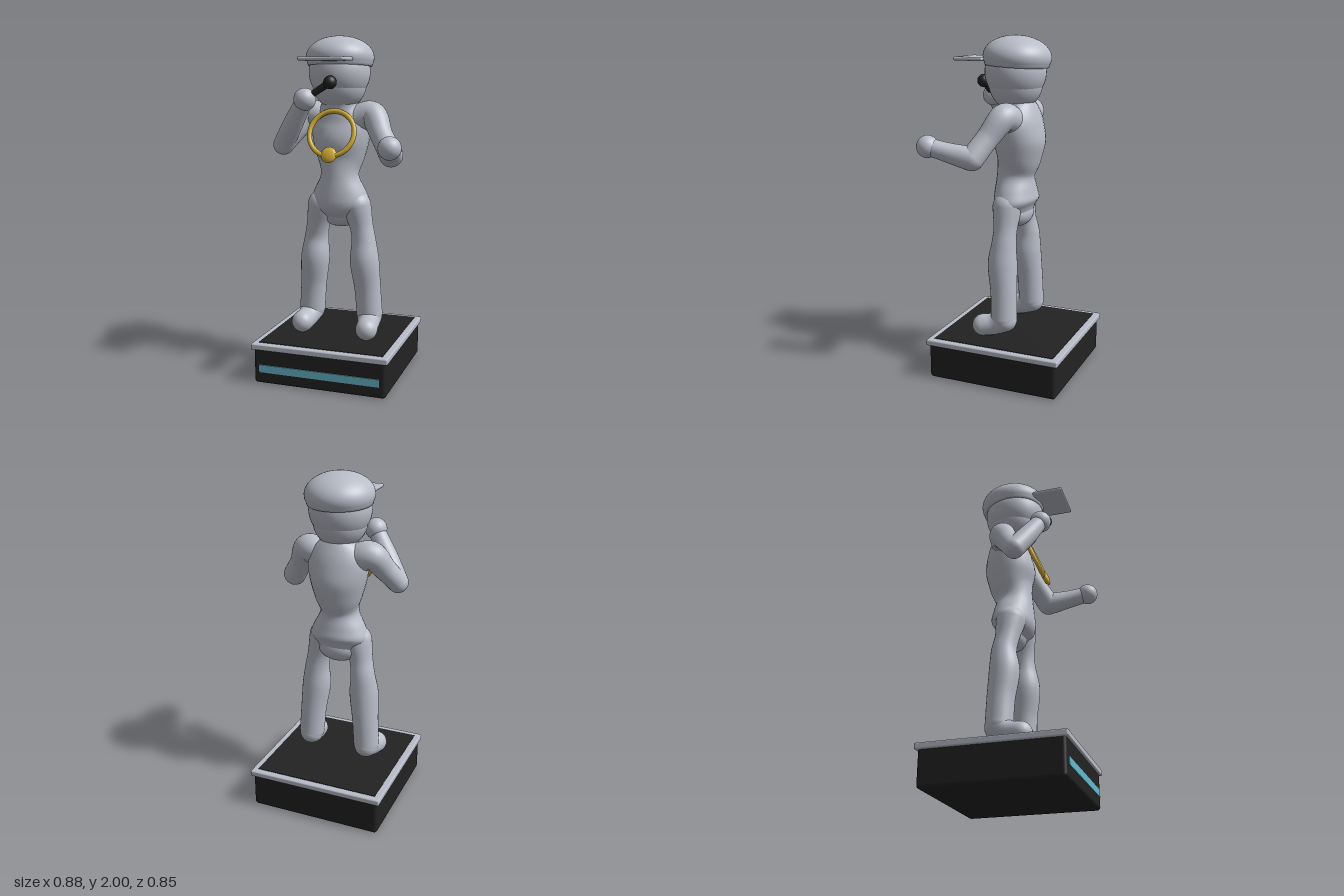
import * as THREE from 'three';
import { mergeGeometries, mergeVertices } from 'three/addons/utils/BufferGeometryUtils.js';
import { RoundedBoxGeometry } from 'three/addons/geometries/RoundedBoxGeometry.js';

const CX = -0.026; // centre line of the figure and its stand

function material(name, color) {
  const m = new THREE.MeshStandardMaterial({ color });
  m.name = name;
  return m;
}

// Smooth limb through sections [x, y, z, rx, rz], closed by a ball at each end
function limbGeometry(sections, steps = 40, sides = 28) {
  const curve = new THREE.CatmullRomCurve3(sections.map(s => new THREE.Vector3(s[0], s[1], s[2])));
  const radii = new THREE.SplineCurve(sections.map(s => new THREE.Vector2(s[3], s[4] ?? s[3])));
  const tube = new THREE.TubeGeometry(curve, steps, 1, sides);
  const pos = tube.attributes.position;
  for (let i = 0; i <= steps; i++) {
    const c = curve.getPointAt(i / steps);
    const r = radii.getPoint(curve.getUtoTmapping(i / steps));
    for (let j = 0; j <= sides; j++) {
      const k = i * (sides + 1) + j;
      pos.setXYZ(k,
        c.x + (pos.getX(k) - c.x) * r.x,
        c.y + (pos.getY(k) - c.y) * r.x,
        c.z + (pos.getZ(k) - c.z) * r.y);
    }
  }
  tube.deleteAttribute('uv');
  tube.deleteAttribute('normal');
  const skin = mergeVertices(tube, 1e-5);
  skin.computeVertexNormals();
  const balls = [sections[0], sections[sections.length - 1]].map(([x, y, z, rx, rz = rx]) => {
    const b = new THREE.SphereGeometry(1, sides, 18);
    b.deleteAttribute('uv');
    return b.scale(rx, Math.min(rx, rz), rz).translate(x, y, z);
  });
  return mergeGeometries([skin, ...balls]);
}

export function createModel() {
  const model = new THREE.Group();
  model.name = 'performerFigure';
  const grey = material('paleGrey', 0xb9bdc8);
  const black = material('nearBlack', 0x222222);
  const gold = material('gold', 0xd4af37);
  const blue = material('lightBlue', 0x66b8cc);

  const add = (name, geometry, mat, x = 0, y = 0, z = 0, parent = model) => {
    const mesh = new THREE.Mesh(geometry, mat);
    mesh.name = name;
    mesh.position.set(x, y, z);
    parent.add(mesh);
    return mesh;
  };
  const limb = (name, sections) => add(name, limbGeometry(sections), grey);

  // Display stand
  const stand = new THREE.Group();
  stand.name = 'stand';
  stand.position.set(CX, 0, -0.012);
  model.add(stand);
  add('standBody', new RoundedBoxGeometry(0.796, 0.22, 0.796, 3, 0.02), black, 0, 0.11, 0, stand);
  add('standTrim', new RoundedBoxGeometry(0.824, 0.036, 0.824, 3, 0.008), grey, 0, 0.222, 0, stand);
  add('standFloor', new THREE.BoxGeometry(0.75, 0.006, 0.748), black, 0, 0.24, 0, stand);
  add('standStripe', new THREE.BoxGeometry(0.725, 0.045, 0.008), blue, 0, 0.092, 0.4, stand);

  // Torso, from the crotch to the neck
  limb('torso', [
    [CX, 0.97, -0.022, 0.13, 0.085],
    [CX, 1.03, -0.012, 0.178, 0.125],
    [CX, 1.1, -0.007, 0.158, 0.122],
    [CX, 1.2, -0.006, 0.113, 0.112],
    [CX, 1.3, -0.025, 0.142, 0.13],
    [CX, 1.4, -0.03, 0.168, 0.15],
    [CX, 1.5, -0.03, 0.178, 0.132],
    [CX, 1.57, -0.02, 0.15, 0.114],
    [CX, 1.62, -0.01, 0.108, 0.107],
    [CX, 1.68, -0.005, 0.133, 0.14],
    [CX, 1.73, -0.003, 0.157, 0.158],
  ]);

  // Head
  add('head', new THREE.SphereGeometry(0.179, 40, 28), grey, CX, 1.795, -0.003);

  // Cap: a flattened dome with a crisp lower rim, tipped back a little
  const capProfile = [[0, -0.04], [0.178, -0.05], [0.186, -0.05]].map(p => new THREE.Vector2(...p));
  for (let i = 0; i <= 20; i++) {
    const a = -0.3 + (Math.PI / 2 + 0.3) * i / 20;
    capProfile.push(new THREE.Vector2(Math.max(0, 0.198 * Math.cos(a)), 0.122 * Math.sin(a)));
  }
  const cap = add('cap', new THREE.LatheGeometry(capProfile, 48), grey, CX, 1.878, -0.013);
  cap.rotation.x = -0.06;
  add('capBrim', new RoundedBoxGeometry(0.265, 0.022, 0.185, 3, 0.01), grey, CX, 1.867, 0.242);

  // Legs and feet; the right leg stands slightly further back
  for (const [side, s, back] of [['left', 1, 0], ['right', -1, 0.026]]) {
    const at = (dx, y, z, r) => [CX + s * dx, y, z - back, r];
    limb(side + 'Leg', [
      at(0.107, 1.02, 0.005 + back, 0.086),
      at(0.137, 0.9, 0.003 + back * 0.6, 0.07),
      at(0.153, 0.81, 0.006, 0.073),
      at(0.16, 0.69, 0.012, 0.087),
      at(0.176, 0.52, -0.002, 0.079),
      at(0.187, 0.365, -0.007, 0.078),
    ]);
    limb(side + 'Foot', [
      at(0.188, 0.35, -0.012, 0.074),
      at(0.196, 0.318, 0.05, 0.065),
      at(0.206, 0.304, 0.12, 0.065),
    ]);
  }

  // Left arm, reaching forward
  limb('leftUpperArm', [
    [0.08, 1.525, -0.02, 0.085], [0.168, 1.55, -0.012, 0.08],
    [0.245, 1.44, 0.055, 0.066], [0.318, 1.335, 0.115, 0.068],
  ]);
  limb('leftForearm', [
    [0.318, 1.335, 0.115, 0.068], [0.35, 1.365, 0.24, 0.056], [0.374, 1.393, 0.34, 0.05],
  ]);
  add('leftHand', new THREE.SphereGeometry(0.064, 28, 20), grey, 0.376, 1.397, 0.36);

  // Right arm, bent up to the mouth
  const rightHand = new THREE.Vector3(-0.165, 1.643, 0.2);
  limb('rightUpperArm', [
    [-0.132, 1.525, -0.02, 0.085], [-0.22, 1.55, -0.02, 0.08],
    [-0.285, 1.46, 0.035, 0.065], [-0.343, 1.375, 0.09, 0.061],
  ]);
  limb('rightForearm', [
    [-0.343, 1.375, 0.09, 0.061], [-0.26, 1.5, 0.145, 0.058], [-0.18, 1.62, 0.19, 0.05],
  ]);
  add('rightHand', new THREE.SphereGeometry(0.064, 28, 20), grey, ...rightHand);

  // Microphone
  const micTop = new THREE.Vector3(-0.016, 1.738, 0.195);
  const axis = micTop.clone().sub(rightHand);
  const middle = rightHand.clone().add(micTop).multiplyScalar(0.5);
  const handle = add('microphoneHandle',
    new THREE.CylinderGeometry(0.021, 0.018, axis.length(), 20), black, ...middle);
  handle.quaternion.setFromUnitVectors(new THREE.Vector3(0, 1, 0), axis.normalize());
  add('microphoneHead', new THREE.SphereGeometry(0.038, 24, 16), black, ...micTop);

  // Necklace with a medallion, leaning out at the bottom
  const necklace = new THREE.Group();
  necklace.name = 'necklace';
  necklace.position.set(CX, 1.45, 0.14);
  necklace.rotation.x = -0.38;
  model.add(necklace);
  add('necklaceRing', new THREE.TorusGeometry(0.134, 0.0145, 14, 56), gold, 0, 0, 0, necklace);
  add('medallion', new THREE.SphereGeometry(0.047, 28, 18), gold, 0, -0.128, 0.004, necklace)
    .scale.z = 0.4;

  return model;
}
